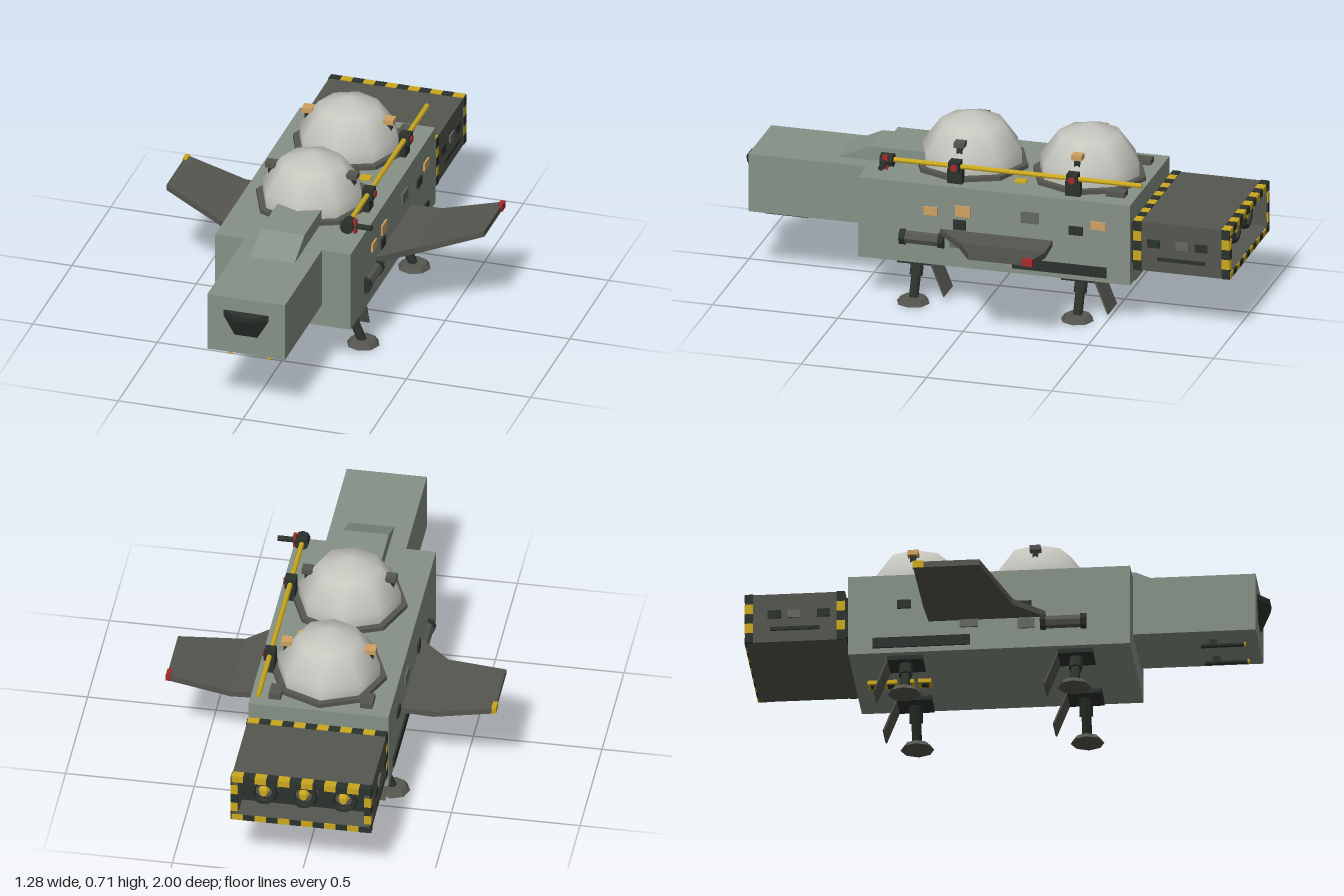
import * as THREE from 'three';
import { ConvexGeometry } from 'three/addons/geometries/ConvexGeometry.js';

const mat = (name, color, flatShading = true) => {
  const m = new THREE.MeshStandardMaterial({ color });
  m.name = name;
  m.flatShading = flatShading;
  return m;
};

export function createModel() {
  const model = new THREE.Group();
  model.name = 'landingCraft';
  const hull = mat('hullGreen', 0x869186);
  const grey = mat('darkGrey', 0x55564f);
  const panel = mat('panelGrey', 0x626961);
  const dark = mat('blackGreen', 0x2b322c);
  const pearl = mat('domeWhite', 0xc6c7bf, false);
  const yellow = mat('yellow', 0xcaa81e);
  const tan = mat('tan', 0xcfa161);
  const red = mat('red', 0xa52a2c);

  const add = (name, geo, material, x = 0, y = 0, z = 0) => {
    const m = new THREE.Mesh(geo, material);
    m.name = name;
    m.position.set(x, y, z);
    model.add(m);
    return m;
  };
  // Box given by its low and high corners
  const box = (name, material, x0, x1, y0, y1, z0, z1) =>
    add(name, new THREE.BoxGeometry(x1 - x0, y1 - y0, z1 - z0), material,
      (x0 + x1) / 2, (y0 + y1) / 2, (z0 + z1) / 2);
  // Box given by centre and size
  const block = (name, material, x, y, z, w, h, d) =>
    add(name, new THREE.BoxGeometry(w, h, d), material, x, y, z);
  // Rod between two points
  const rod = (name, material, a, b, r, sides = 8, r2 = r) => {
    const p = new THREE.Vector3(...a), q = new THREE.Vector3(...b);
    const d = q.clone().sub(p);
    const m = add(name, new THREE.CylinderGeometry(r2, r, d.length(), sides), material);
    m.position.copy(p).add(q).multiplyScalar(0.5);
    m.quaternion.setFromUnitVectors(new THREE.Vector3(0, 1, 0), d.normalize());
    return m;
  };
  const convex = (name, material, pts) =>
    add(name, new ConvexGeometry(pts.map(p => new THREE.Vector3(...p))), material);

  // Hull, nose and the sloped fairing behind the nose
  box('body', hull, -0.272, 0.272, 0.17, 0.497, -0.6, 0.485);
  box('nose', hull, -0.156, 0.156, 0.26, 0.496, 0.48, 0.957);
  const fairing = [];
  const cockpit = [];
  for (const s of [-1, 1]) {
    fairing.push([s * 0.088, 0.49, 0.63], [s * 0.088, 0.553, 0.49],
      [s * 0.088, 0.553, 0.2], [s * 0.088, 0.49, 0.2]);
    cockpit.push([s * 0.09, 0.44, 0.95], [s * 0.09, 0.415, 0.95], [s * 0.046, 0.34, 0.95],
      [s * 0.09, 0.44, 0.958], [s * 0.09, 0.415, 0.958], [s * 0.046, 0.34, 0.96],
      [s * 0.038, 0.44, 1.0], [s * 0.038, 0.42, 0.997]);
  }
  convex('fairing', hull, fairing);
  convex('cockpitWindow', dark, cockpit);

  // Two domes with base rings and lamps
  for (const [z, lampMat] of [[0.11, grey], [-0.36, tan]]) {
    add('domeRing', new THREE.CylinderGeometry(0.225, 0.225, 0.018, 8), grey, 0, 0.505, z);
    add('dome', new THREE.SphereGeometry(0.209, 8, 5), pearl, 0, 0.501, z);
    for (const s of [-1, 1]) {
      block('lampStem', dark, s * 0.163, 0.612, z, 0.022, 0.04, 0.022);
      block('lampHead', lampMat, s * 0.163, 0.633, z, 0.042, 0.02, 0.042);
    }
    // Rail clamps
    block('clampPost', dark, 0.222, 0.525, z, 0.03, 0.06, 0.06);
    block('clamp', dark, 0.228, 0.567, z, 0.044, 0.044, 0.044);
    rod('clampLight', red, [0.245, 0.567, z], [0.256, 0.567, z], 0.014);
  }

  // Rail with a swivel head at its front end
  rod('rail', yellow, [0.228, 0.567, -0.635], [0.228, 0.567, 0.37], 0.01);
  rod('swivelHead', dark, [0.23, 0.565, 0.355], [0.23, 0.565, 0.405], 0.028);
  rod('swivelBarrel', dark, [0.24, 0.565, 0.38], [0.325, 0.565, 0.38], 0.011);
  box('swivelBlade', red, 0.252, 0.264, 0.537, 0.593, 0.37, 0.39);

  // Deck fittings
  for (const s of [-1, 1]) block('deckBox', grey, s * 0.178, 0.507, -0.52, 0.048, 0.022, 0.075);
  block('deckPlate', yellow, 0.14, 0.498, -0.127, 0.044, 0.006, 0.044);
  block('deckPlate', tan, -0.11, 0.498, -0.18, 0.025, 0.006, 0.03);

  // Side panels: z, y, length, height, material
  const both = [
    [0.08, 0.345, 0.05, 0.04, dark], [0.085, 0.27, 0.065, 0.04, panel],
    [-0.2, 0.405, 0.07, 0.045, panel], [-0.385, 0.372, 0.055, 0.035, dark],
    [-0.135, 0.285, 0.07, 0.04, panel], [-0.318, 0.212, 0.375, 0.042, dark]];
  const leftOnly = [
    [0.195, 0.39, 0.055, 0.034, tan], [0.067, 0.402, 0.06, 0.044, tan],
    [-0.475, 0.402, 0.06, 0.032, tan]];
  for (const s of [-1, 1]) {
    for (const [z, y, l, h, m] of s > 0 ? [...both, ...leftOnly] : both)
      block('sidePanel', m, s * 0.274, y, z, 0.01, h, l);
    // Side tank
    rod('tank', grey, [s * 0.268, 0.272, 0.15], [s * 0.268, 0.272, 0.3], 0.028);
    for (const z of [0.14, 0.295])
      rod('tankCap', dark, [s * 0.268, 0.272, z], [s * 0.268, 0.272, z + 0.022], 0.034);
  }

  // Cranked wings: stations are x, y, front z, rear z
  const stations = [[0.26, 0.308, 0.17, -0.29], [0.395, 0.308, 0.045, -0.298], [0.638, 0.367, -0.06, -0.315]];
  for (const s of [-1, 1]) {
    for (let i = 0; i < 2; i++) {
      const pts = [];
      for (const [x, y, zf, zr] of stations.slice(i, i + 2))
        for (const t of [-0.012, 0.012]) pts.push([s * x, y + t, zf], [s * x, y + t, zr]);
      convex(i ? 'outerWing' : 'innerWing', grey, pts);
    }
    block('wingTipLight', s > 0 ? red : yellow, s * 0.633, 0.368, -0.296, 0.018, 0.028, 0.042);
  }

  // Landing legs with feet and open bay doors
  for (const s of [-1, 1]) for (const z of [0.27, -0.385]) {
    block('legMount', dark, s * 0.185, 0.162, z, 0.12, 0.02, 0.135);
    rod('legSleeve', dark, [s * 0.188, 0.165, z], [s * 0.217, 0.095, z], 0.026);
    rod('leg', dark, [s * 0.188, 0.165, z], [s * 0.25, 0.015, z], 0.019);
    add('foot', new THREE.CylinderGeometry(0.05, 0.065, 0.02, 8), grey, s * 0.255, 0.01, z);
    const door = block('bayDoor', grey, s * 0.185, 0.093, z - 0.093, 0.116, 0.138, 0.006);
    door.rotation.x = 0.38;
  }

  // Yellow belly vents
  for (let i = 0; i < 4; i++) {
    const z = -0.33 - i * 0.065;
    block('ventFrame', yellow, 0, 0.163, z, 0.056, 0.016, 0.05);
    block('ventSlot', dark, 0, 0.155, z, 0.034, 0.004, 0.028);
  }

  // Twin guns below the nose
  for (const s of [-1, 1]) {
    block('gunMount', dark, s * 0.078, 0.248, 0.785, 0.016, 0.03, 0.026);
    rod('gun', dark, [s * 0.078, 0.235, 0.74], [s * 0.078, 0.235, 0.905], 0.009);
    rod('gunTip', yellow, [s * 0.078, 0.235, 0.905], [s * 0.078, 0.235, 0.912], 0.01);
  }

  // Hollow engine block
  const W = 0.27, Y0 = 0.237, Y1 = 0.438, ZR = -0.996, ZF = -0.612, T = 0.024;
  box('engineNeck', dark, -0.25, 0.25, 0.255, 0.42, -0.64, -0.59);
  box('engineRoof', grey, -W, W, Y1 - T, Y1, ZR, ZF);
  box('engineFloor', grey, -W, W, Y0, Y0 + T, ZR, ZF);
  for (const s of [-1, 1])
    block('engineWall', grey, s * (W - T / 2), (Y0 + Y1) / 2, (ZR + ZF) / 2, T, Y1 - Y0 - 2 * T, ZF - ZR);
  box('engineBulkhead', dark, -W + T, W - T, Y0 + T, Y1 - T, -0.9, ZF - 0.002);

  // Hazard stripes on roof, walls and rear frame
  const n = 12, dx = 2 * W / n, m = 5, dy = (Y1 - Y0) / m;
  for (let i = 0; i < n; i++) {
    const x = -W + (i + 0.5) * dx;
    const c = i % 2 ? yellow : dark;
    for (const z of [-0.982, -0.629]) block('roofStripe', c, x, Y1, z, dx, 0.006, 0.032);
    block('rearStripe', c, x, Y1 - T / 2, ZR - 0.001, dx, T, 0.006);
    block('rearStripe', c, x, Y0 + T / 2, ZR - 0.001, dx, T, 0.006);
  }
  for (const s of [-1, 1]) for (let i = 0; i < m; i++) {
    const y = Y0 + (i + 0.5) * dy;
    const c = i % 2 ? yellow : dark;
    for (const z of [-0.982, -0.629]) block('wallStripe', c, s * W, y, z, 0.006, dy, 0.032);
    if (i > 0 && i < m - 1) block('rearStripe', c, s * (W - T / 2), y, ZR - 0.001, T, dy, 0.006);
  }

  // Engine wall details
  for (const s of [-1, 1]) {
    for (const [z, c] of [[-0.695, dark], [-0.808, panel], [-0.885, dark]])
      block('engineHatch', c, s * 0.272, 0.352, z, 0.009, 0.032, 0.05);
    block('engineSlit', dark, s * 0.272, 0.291, -0.805, 0.009, 0.014, 0.19);
  }

  // Three thrusters inside the block
  for (const x of [-0.155, 0, 0.155]) {
    const y = (Y0 + Y1) / 2;
    rod('thruster', grey, [x, y, -0.9], [x, y, -0.925], 0.06, 10, 0.056);
    const bell = add('thrusterRing', new THREE.TorusGeometry(0.045, 0.012, 6, 10), dark, x, y, -0.935);
    bell.scale.z = 1.6;
    rod('thrusterCore', yellow, [x, y, -0.92], [x, y, -0.95], 0.024, 8, 0.014);
  }
  return model;
}
